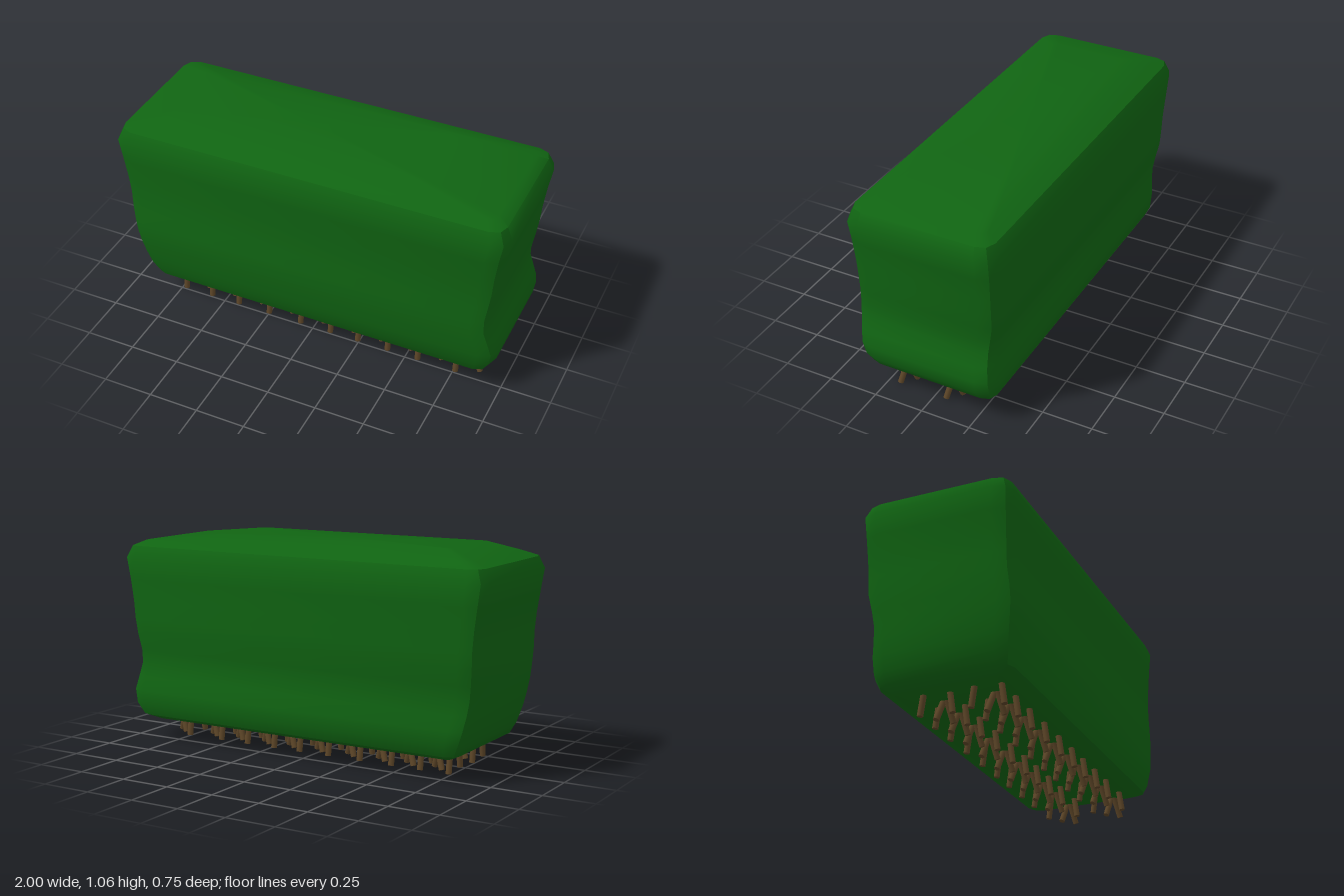
import * as THREE from 'three';
import { toCreasedNormals } from 'three/addons/utils/BufferGeometryUtils.js';

// One horizontal slice of the hedge: a rectangle with two-step bevelled corners
function sliceRing([y, x0, x1, z0, z1, k]) {
  const points = [];
  const corners = [[x1, z0, -1, 1], [x0, z0, 1, 1], [x0, z1, 1, -1], [x1, z1, -1, -1]];
  corners.forEach(([x, z, dx, dz], i) => {
    const bevel = [[0, 0.085], [0.02, 0.025], [0.08, 0]];
    if (i % 2) bevel.reverse();
    for (const [bx, bz] of bevel) points.push([x + dx * bx * k, y, z + dz * bz * k]);
  });
  return points;
}

// Skin the stacked slices and close both ends
function loft(rings) {
  const n = rings[0].length, last = rings.length - 1;
  const vertices = rings.flat();
  const index = [];
  for (let j = 0; j < last; j++) {
    for (let i = 0; i < n; i++) {
      const a = j * n + i, b = j * n + (i + 1) % n;
      index.push(a, b, b + n, a, b + n, a + n);
    }
  }
  for (const j of [0, last]) {
    const centre = [0, 1, 2].map(c => rings[j].reduce((s, p) => s + p[c] / n, 0));
    const c = vertices.push(centre) - 1;
    for (let i = 0; i < n; i++) {
      const a = j * n + i, b = j * n + (i + 1) % n;
      index.push(...(j ? [c, a, b] : [c, b, a]));
    }
  }
  const g = new THREE.BufferGeometry();
  g.setAttribute('position', new THREE.Float32BufferAttribute(vertices.flat(), 3));
  g.setIndex(index);
  return toCreasedNormals(g, 0.7);
}

export function createModel() {
  const model = new THREE.Group();
  model.name = 'hedge';
  const leafMaterial = new THREE.MeshStandardMaterial({ color: 0x106412 });
  const stemMaterial = new THREE.MeshStandardMaterial({ color: 0x5c4527 });

  // Clipped foliage: y, left/right x, back/front z, corner size
  const slices = [
    [0.106, -0.80, 0.865, -0.268, 0.256, 0.3],
    [0.134, -0.856, 0.93, -0.33, 0.32, 0.7],
    [0.19, -0.89, 0.968, -0.355, 0.344, 1],
    [0.26, -0.912, 0.98, -0.353, 0.355, 1],
    [0.33, -0.927, 0.962, -0.343, 0.366, 1],
    [0.40, -0.938, 0.942, -0.338, 0.374, 1],
    [0.47, -0.947, 0.939, -0.347, 0.373, 1],
    [0.55, -0.957, 0.95, -0.362, 0.366, 1],
    [0.63, -0.96, 0.961, -0.366, 0.363, 1],
    [0.72, -0.968, 0.968, -0.367, 0.366, 1],
    [0.83, -0.984, 0.982, -0.371, 0.37, 1],
    [0.934, -1, 1, -0.375, 0.375, 1],
    [0.995, -0.972, 0.972, -0.35, 0.35, 0.8],
    [1.02, -0.90, 0.92, -0.30, 0.30, 0.6],
    [1.063, -0.755, 0.52, -0.203, 0.203, 0.3],
  ];
  const foliage = new THREE.Mesh(loft(slices.map(sliceRing)), leafMaterial);
  foliage.name = 'foliage';
  model.add(foliage);

  // Two rows of stem clusters, each an upright pair and a splayed pair
  const stems = new THREE.Group();
  stems.name = 'stems';
  const up = new THREE.Vector3(0, 1, 0);
  function addStem(x0, z0, x1, z1) {
    const foot = new THREE.Vector3(x0, 0.009, z0);
    const top = new THREE.Vector3(x1, 0.17, z1);
    const dir = top.clone().sub(foot);
    const stem = new THREE.Mesh(new THREE.CylinderGeometry(0.015, 0.015, dir.length(), 8), stemMaterial);
    stem.name = 'stem';
    stem.position.copy(foot).add(top).multiplyScalar(0.5);
    stem.quaternion.setFromUnitVectors(up, dir.normalize());
    stems.add(stem);
  }
  const clusterX = [-0.735, -0.585, -0.43, -0.257, -0.08, 0.085, 0.235, 0.395, 0.555, 0.753];
  for (const z of [0.163, -0.085]) {
    for (const x of clusterX) {
      for (const s of [1, -1]) {
        addStem(x + 0.008 * s, z + 0.076 * s, x + 0.008 * s, z + 0.053 * s);
        addStem(x + 0.085 + 0.033 * s, z + 0.027 * s, x + 0.085 - 0.02 * s, z - 0.004 * s);
      }
    }
  }
  model.add(stems);
  return model;
}
